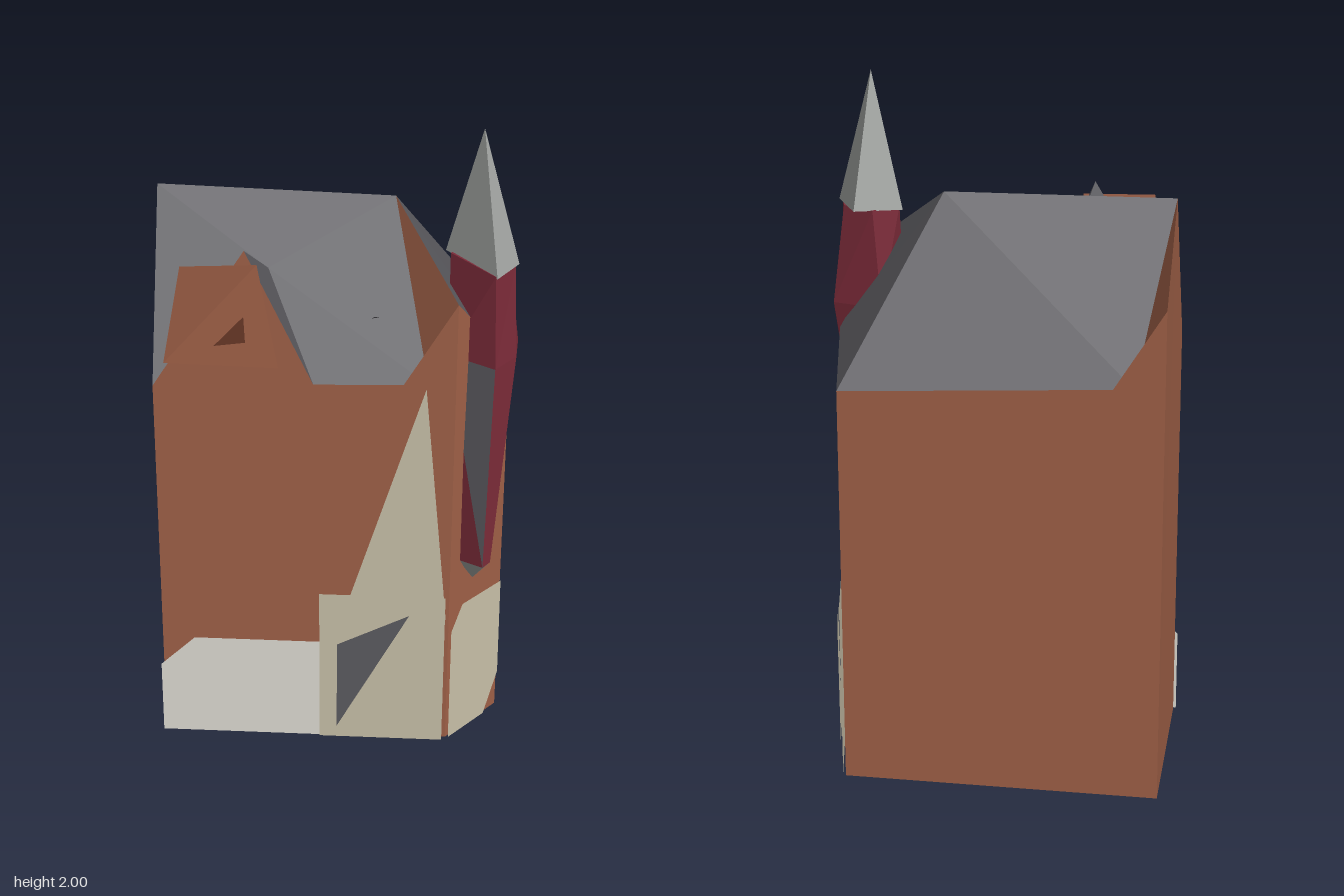
import * as THREE from 'three';

const mat = (name, color) => {
  const m = new THREE.MeshStandardMaterial({ color, side: THREE.DoubleSide, flatShading: true });
  m.name = name;
  return m;
};

// Mesh of flat convex faces; each face is turned to look away from the centre
function faces(name, material, list, centre = [0, 0.8, 0]) {
  const c = new THREE.Vector3(...centre), pos = [];
  for (const f of list) {
    const v = f.map((p) => new THREE.Vector3(...p));
    for (let i = 1; i < v.length - 1; i++) {
      const t = [v[0], v[i], v[i + 1]];
      const n = t[1].clone().sub(t[0]).cross(t[2].clone().sub(t[0]));
      const mid = t[0].clone().add(t[1]).add(t[2]).divideScalar(3).sub(c);
      if (n.dot(mid) < 0) t.reverse();
      t.forEach((p) => pos.push(p.x, p.y, p.z));
    }
  }
  const g = new THREE.BufferGeometry();
  g.setAttribute('position', new THREE.Float32BufferAttribute(pos, 3));
  g.computeVertexNormals();
  const mesh = new THREE.Mesh(g, material);
  mesh.name = name;
  return mesh;
}

// Quads joining two rings of equal length
const band = (lo, hi) => lo.map((p, i) => {
  const j = (i + 1) % lo.length;
  return [p, lo[j], hi[j], hi[i]];
});

export function createModel() {
  const group = new THREE.Group();
  const brick = mat('brick brown', 0x9f6047);
  const darkBrick = mat('dark brick', 0x6e3c2a);
  const slate = mat('slate grey', 0x5c5b60);
  const cream = mat('cream stone', 0xc8c0a8);
  const white = mat('pale plaster', 0xdedbd3);
  const red = mat('dark red', 0x7c2b39);
  const metal = mat('spire grey', 0xa0a3a0);
  const add = (...a) => group.add(faces(...a));

  // Corners on the ground, eaves and ridge
  const A0 = [-0.55, 0, 0.05], B0 = [-0.2, 0, 0.5], C0 = [0.46, 0, -0.01];
  const D0 = [0.475, 0, -0.23], E0 = [0.18, 0, -0.5];
  const A = [-0.55, 1.48, 0.05], B = [-0.2, 1.23, 0.5], C = [0.46, 1.52, -0.01];
  const D = [0.475, 1.25, -0.23], E = [0.18, 1.2, -0.5];
  const backEave = [-0.48, 1.25, 0], frontEave = [0.4, 1.26, 0.036];
  const ridgeL = [-0.37, 1.71, 0.28], ridgeR = [0.155, 1.7, -0.11];
  const dormerBack = [-0.055, 1.52, 0.18], dormerTop = [0.005, 1.67, 0.342];
  const dormerFoot = [0.15, 1.25, 0.229];

  // Walls and gables
  add('brickWalls', brick, [
    [B0, C0, C, frontEave, dormerFoot, B],
    [B, dormerFoot, dormerTop],
    [A0, B0, B, ridgeL, A],
    [E0, E, backEave, A, A0],
    [C0, D0, D, C],
    [ridgeL, A, backEave],
    [ridgeR, C, frontEave],
    [A0, E0, D0, B0],
  ]);
  add('creamBackWall', cream, [[D0, E0, E, D]]);

  // Roof slopes and dormer roof
  add('roof', slate, [
    [backEave, ridgeL, ridgeR, E],
    [ridgeR, C, D], [ridgeR, D, E],
    [dormerBack, ridgeL, B],
    [dormerBack, dormerFoot, frontEave, ridgeR, ridgeL],
    [B, dormerBack, dormerTop],
    [dormerBack, dormerFoot, dormerTop],
  ]);
  add('dormerFront', brick, [[
    [-0.17, 1.31, 0.485], [0.09, 1.315, 0.305], [0.035, 1.63, 0.325], [-0.115, 1.63, 0.465],
  ]]);
  add('dormerWindow', darkBrick, [[[-0.055, 1.375, 0.405], [0.02, 1.395, 0.36], [0.02, 1.48, 0.365]]]);
  add('roofVent', slate, [
    [[0.205, 1.4, 0.06], [0.235, 1.41, 0.04], [0.225, 1.42, 0.06]],
    [[0.205, 1.39, 0.05], [0.235, 1.4, 0.03], [0.225, 1.42, 0.06]],
  ]);

  // Plates on the front wall: x and y given, z follows the wall
  const onFront = (off, pts) => [pts.map(([x, y]) => [x, y, 0.5 - (x + 0.2) * 0.773 + off])];
  add('plasterPlate', white, onFront(0.012,
    [[-0.2, 0], [0.18, 0], [0.18, 0.355], [-0.12, 0.355], [-0.2, 0.25]]));
  add('creamTriangle', cream, onFront(0.008, [[0.22, 0.45], [0.457, 0.45], [0.4, 1.25]]));
  add('doorPanel', cream, onFront(0.018, [[0.172, 0], [0.46, 0], [0.46, 0.535], [0.172, 0.535]]));
  add('door', cream, onFront(0.026,
    [[0.22, 0.05], [0.41, 0.05], [0.415, 0.4], [0.38, 0.475], [0.25, 0.455], [0.22, 0.37]]));
  add('doorGlass', slate, onFront(0.032, [[0.22, 0.05], [0.385, 0.475], [0.22, 0.36]]));

  // Plate on the narrow right wall: z and y given
  add('sidePlate', cream, [
    [[-0.015, 0], [-0.17, 0], [-0.228, 0.13], [-0.225, 0.475], [-0.06, 0.48], [-0.015, 0.4]]
      .map(([z, y]) => [0.467 - (z + 0.01) * 0.068, y, z]),
  ]);

  // Panel and door on the cream wall
  const onBack = (off, pts) => [pts.map(([x, y]) => [x + off, y, -0.5 + (x - 0.18) * 0.915 - off])];
  add('backPanel', cream, onBack(0.006, [[0.19, 0], [0.37, 0], [0.37, 0.535], [0.19, 0.535]]));
  add('backDoor', cream, onBack(0.012,
    [[0.26, 0.05], [0.36, 0.05], [0.31, 0.46], [0.29, 0.47], [0.235, 0.44]]));

  // Corner turret
  const turret = new THREE.Group();
  turret.name = 'turret';
  group.add(turret);
  const mid = (y) => [0.47, y, -0.12];
  const low = [[0.455, 0.64, -0.05], [0.54, 0.65, -0.055], [0.54, 0.65, -0.09],
    [0.5, 0.64, -0.11], [0.44, 0.64, -0.11]];
  const ring = [[0.4, 1.32, -0.045], [0.545, 1.32, -0.07], [0.548, 1.32, -0.16],
    [0.5, 1.32, -0.23], [0.36, 1.32, -0.17]];
  const top = [[0.365, 1.61, -0.09], [0.535, 1.61, -0.07], [0.535, 1.61, -0.155],
    [0.48, 1.61, -0.2], [0.38, 1.61, -0.18]];
  turret.add(faces('turretShaft', red,
    [...band(low, ring).slice(1), [low[0], low[1], ring[0]], ring], mid(1)));
  turret.add(faces('turretWindow', slate, [[ring[0], low[1], ring[1]]], mid(1)));
  turret.add(faces('turretHead', red, [...band(ring, top), top], mid(1.45)));
  const foot = [0.475, 0.56, -0.095];
  turret.add(faces('turretFoot', metal,
    low.map((p, i) => [p, low[(i + 1) % low.length], foot]), [0.49, 0.63, -0.08]));

  // Spire
  const base = [[0.34, 1.605, -0.1], [0.41, 1.61, -0.225], [0.54, 1.61, -0.165], [0.54, 1.605, -0.07]];
  const tip = [0.438, 2, -0.125];
  turret.add(faces('spire', metal,
    [...base.map((p, i) => [p, base[(i + 1) % 4], tip]), base], [0.45, 1.7, -0.13]));

  return group;
}
